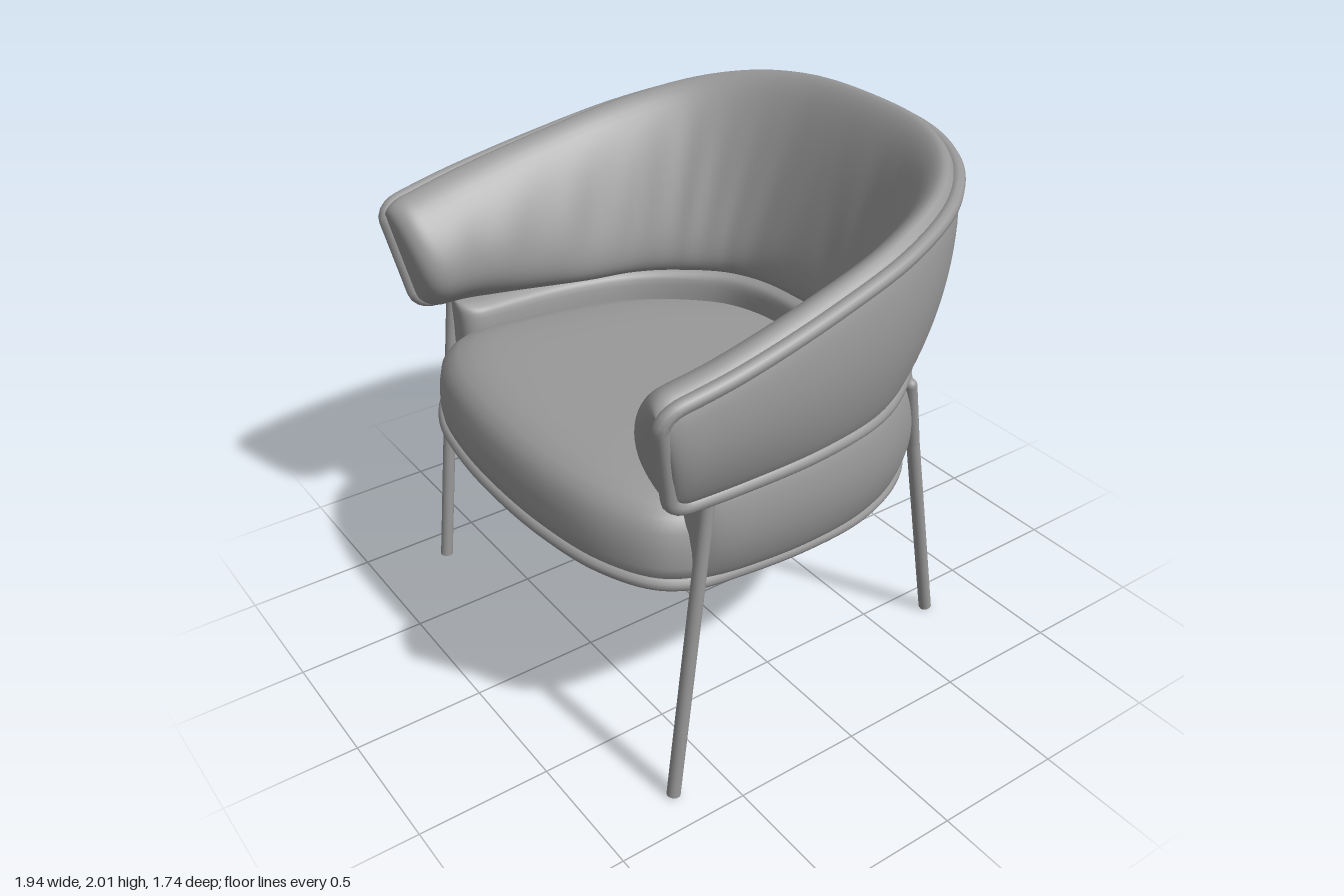
import * as THREE from 'three';

const grey = new THREE.MeshStandardMaterial({ color: 0x999999 });
grey.name = 'grey upholstery';

const V = (x, y, z) => new THREE.Vector3(x, y, z);

// Smooth curve through half-plan points [x, z] (arm front to centre), mirrored over x.
function mirroredCurve(half, yOf, closed = false) {
  const pts = half.map(([x, z]) => V(x, yOf(z), z));
  const mirror = pts.filter(p => p.x > 0).reverse().map(p => V(-p.x, p.y, p.z));
  return new THREE.CatmullRomCurve3([...pts, ...mirror], closed);
}

// Skin over rows of points; every row is a closed ring.
function loft(rows) {
  const n = rows[0].length, index = [];
  for (let i = 0; i < rows.length - 1; i++) {
    for (let j = 0; j < n; j++) {
      const k = (j + 1) % n, a = i * n, b = a + n;
      index.push(a + j, b + j, a + k, b + j, b + k, a + k);
    }
  }
  const g = new THREE.BufferGeometry().setFromPoints(rows.flat());
  g.setIndex(index);
  g.computeVertexNormals();
  return g;
}

function add(group, name, geometry) {
  const mesh = new THREE.Mesh(geometry, grey);
  mesh.name = name;
  group.add(mesh);
}

// Rounded easing: 0 at the open end, 1 once e reaches r; a higher power is blunter.
const round = (e, r, power) => (e >= r ? 1 : Math.max(0, 1 - (1 - e / r) ** power) ** (1 / power));

// U-shaped padded wall between two curves: returns a point function (t, v, depth inward).
function padded(top, bottom, corner) {
  const end = top.getPoint(0).z;
  return (t, v, d) => {
    const hi = top.getPoint(t), lo = bottom.getPoint(t), tan = top.getTangent(t);
    const e = end - hi.z;
    const inset = corner * (1 - round(e, 0.08, 2));
    const p = lo.lerp(hi, inset + v * (1 - 2 * inset));
    const out = V(-tan.z, 0, tan.x).normalize();
    const depth = d * round(e, 0.14, 3);
    // Padding swells forward at the open ends
    p.z += 0.2 * Math.max(0, depth) * Math.max(0, 1 - e / 0.25);
    return p.addScaledVector(out, -depth);
  };
}

const N = 150;
const step = i => 0.5 - 0.5 * Math.cos(Math.PI * i / N);

// Wall cross-section: bulged outer face, then the inner profile [v, depth] smoothed.
function wallRows(point, bulge, inner, padding) {
  const profile = new THREE.SplineCurve(inner.map(([v, d]) => new THREE.Vector2(v, d)));
  const rows = [];
  for (let i = 0; i <= N; i++) {
    const t = step(i), row = [];
    for (let j = 0; j < 16; j++) {
      const v = j / 16;
      row.push(point(t, v, -bulge * Math.sin(Math.PI * v) ** 0.7));
    }
    for (const p of profile.getPoints(30).slice(0, -1)) row.push(point(t, p.x, p.y * padding(t, p.x)));
    rows.push(row);
  }
  return rows;
}

export function createModel() {
  const chair = new THREE.Group();
  chair.name = 'armchair';

  // Backrest and arms
  const rim = mirroredCurve([[0.925, 0.78], [0.943, 0.5], [0.918, 0.1], [0.86, -0.25], [0.74, -0.53],
    [0.56, -0.715], [0.32, -0.82], [0, -0.848]], z => 1.61 + (0.78 - z) * 0.206);
  const waistY = z => 1.2 + z * 0.015;
  const waistBack = [[0.86, 0.1], [0.8, -0.2], [0.67, -0.43], [0.505, -0.6], [0.3, -0.69], [0, -0.715]];
  const waist = mirroredCurve([[0.86, 0.7], [0.87, 0.45], ...waistBack], waistY);
  const shell = padded(rim, waist, 0.13);
  // Thicker padding on the arms, rounded under at their fronts, with soft creases in the bends
  const padding = (t, v) => {
    const arm = Math.abs(2 * t - 1);
    const front = THREE.MathUtils.smoothstep(arm, 0.65, 0.95);
    const bend = Math.exp(-(((arm - 0.6) / 0.25) ** 2));
    const fade = Math.sin(Math.PI * THREE.MathUtils.clamp(v, 0, 1));
    const crease = Math.sin(arm * 60 + v * 5) * (0.008 + 0.02 * bend) * fade;
    return 1 + 0.2 * Math.min(1, arm * 1.4) + front * (0.05 - 0.85 * Math.max(0, 1 - v) ** 3) + crease;
  };
  add(chair, 'backrest', loft(wallRows(shell, 0.054,
    [[1, 0], [1.075, 0.05], [1, 0.105], [0.8, 0.155], [0.5, 0.2], [0.22, 0.225], [0.06, 0.205], [0, 0.14], [0, 0]], padding)));

  // Piping around the whole backrest panel
  const loop = [];
  for (let i = 0; i <= N; i += 2) loop.push(shell(step(i), 1, 0));
  for (let j = 1; j < 6; j++) loop.push(shell(1, 1 - j / 6, 0));
  for (let i = N; i >= 0; i -= 2) loop.push(shell(step(i), 0, 0));
  for (let j = 1; j < 6; j++) loop.push(shell(0, j / 6, 0));
  add(chair, 'backrestPiping', new THREE.TubeGeometry(new THREE.CatmullRomCurve3(loop, true), 400, 0.028, 10, true));

  // Lower band wrapping the seat, padded inside
  const baseY = z => 0.782 + 0.0854 * z;
  const bandTop = mirroredCurve([[0.85, 0.57], [0.862, 0.4], ...waistBack], waistY);
  const bandBase = mirroredCurve([[0.79, 0.57], [0.81, 0.4], [0.805, 0.1], [0.75, -0.2], [0.635, -0.45],
    [0.485, -0.62], [0.28, -0.71], [0, -0.728]], baseY);
  add(chair, 'seatBand', loft(wallRows(padded(bandTop, bandBase, 0), 0.05,
    [[1, 0], [1, 0.08], [0.97, 0.15], [0.85, 0.19], [0.4, 0.17], [0.05, 0.1], [0, 0]], t => 1 - 0.25 * Math.abs(2 * t - 1))));

  // Seat cushion tilted back: outline rings [scale, height fraction] from underside to top
  const outline = mirroredCurve([[0, -0.728], [0.28, -0.71], [0.485, -0.62], [0.635, -0.45], [0.75, -0.2], [0.8, 0.1],
    [0.805, 0.4], [0.79, 0.56], [0.725, 0.675], [0.55, 0.775], [0.3, 0.828], [0, 0.845]], baseY, true);
  const ring = outline.getPoints(120).slice(0, -1);
  const section = [[0, 0], [0.5, 0], [0.96, 0], [0.97, 0], [1.005, 0.06], [1.012, 0.2], [1.008, 0.4], [0.995, 0.6],
    [0.965, 0.74], [0.925, 0.84], [0.86, 0.92], [0.78, 0.965], [0.65, 0.995], [0.5, 1.005], [0.3, 1.01], [0, 1.01]];
  add(chair, 'seatCushion', loft(section.map(([s, f]) =>
    ring.map(p => V(p.x * s, baseY(p.z * s) + f * 0.32, p.z * s)))));
  add(chair, 'seatPiping', new THREE.TubeGeometry(outline, 240, 0.025, 10, true));

  // Legs
  const legs = {
    frontLeg: [[0.857, 1.21, 0.553], [0.855, 0, 0.695]],
    backLeg: [[0.665, 1.165, -0.485], [0.637, 0.88, -0.553], [0.607, 0, -0.738]],
  };
  for (const s of [-1, 1]) {
    for (const [name, pts] of Object.entries(legs)) {
      const nodes = pts.map(([x, y, z]) => V(x * s, y, z));
      for (let i = 1; i < nodes.length; i++) {
        const dir = nodes[i - 1].clone().sub(nodes[i]);
        const g = new THREE.CylinderGeometry(0.025, 0.025, dir.length(), 16);
        g.applyQuaternion(new THREE.Quaternion().setFromUnitVectors(V(0, 1, 0), dir.clone().normalize()));
        g.translate(...nodes[i].clone().addScaledVector(dir, 0.5).toArray());
        add(chair, name, g);
      }
      // Rounded top and bend
      nodes.slice(0, -1).forEach(p => add(chair, name + 'Joint', new THREE.SphereGeometry(0.025, 16, 10).translate(p.x, p.y, p.z)));
    }
  }
  return chair;
}
